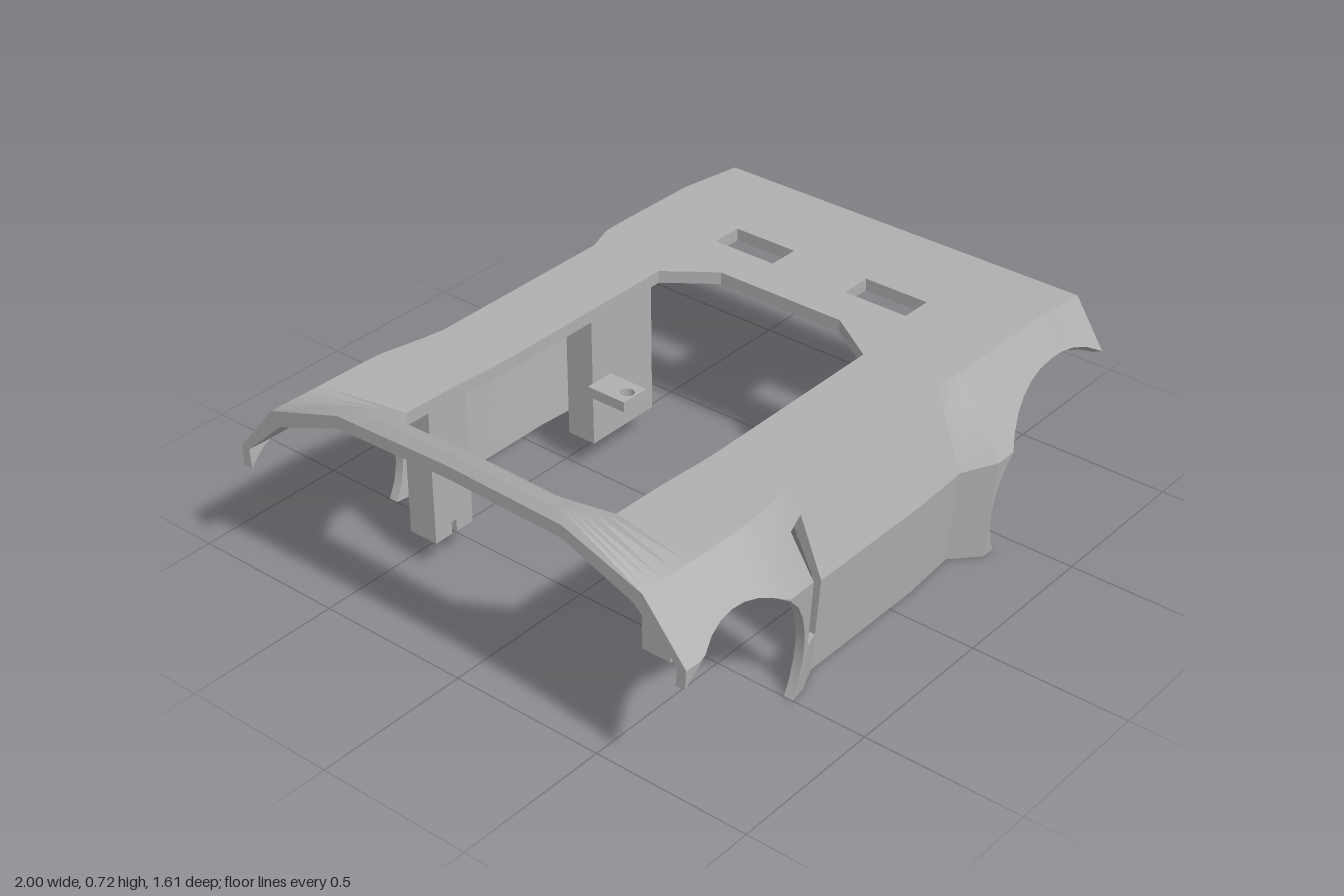
import * as THREE from 'three';
import { toCreasedNormals } from 'three/addons/utils/BufferGeometryUtils.js';

const grey = new THREE.MeshStandardMaterial({ color: 0xb0b0b0 });
grey.name = 'plain grey';

// Stations along the body: x, crease y, crease z, shoulder y, shoulder z, sill z
const STATIONS = [
  [-1, .59, .665, .42, .805, .775],
  [-.59, .58, .665, .40, .805, .775],
  [-.44, .57, .645, .365, .775, .75],
  [-.36, .567, .635, .31, .74, .715],
  [.1, .567, .635, .31, .74, .715],
  [.3, .567, .635, .31, .73, .70],
  [.38, .575, .657, .335, .805, .775],
  [.46, .577, .657, .335, .805, .775],
  [.76, .575, .655, .335, .805, .775],
  [1, .55, .65, .31, .805, .775],
];

// Piecewise linear lookup of column c at x
function lookup(table, x, c) {
  let i = 0;
  while (i < table.length - 2 && x > table[i + 1][0]) i++;
  const a = table[i], b = table[i + 1];
  const t = THREE.MathUtils.clamp((x - a[0]) / (b[0] - a[0]), 0, 1);
  return a[c] + (b[c] - a[c]) * t;
}
const creaseY = x => lookup(STATIONS, x, 1);
const creaseZ = x => lookup(STATIONS, x, 2);
const shoulderY = x => lookup(STATIONS, x, 3);
const openingZ = x => lookup([[-.87, .27], [-.77, .38], [.3, .38], [.4, .22]], x, 1);
const humpAt = x => lookup([[-1, .09], [-.98, .115], [-.77, 0], [1, 0]], x, 1);

// Wheel arches are ellipses: centre x, y and radii
const A = { x: -.77, y: .15, rx: .31, ry: .31 };
const B = { x: .76, y: .15, rx: .375, ry: .32 };
const archY = (e, x) => e.y + e.ry * Math.sqrt(Math.max(0, 1 - ((x - e.x) / e.rx) ** 2));
const archDx = (e, y) => e.rx * Math.sqrt(1 - ((y - e.y) / e.ry) ** 2);

// Points on the outer skin
function sidePoint(x, y) {
  const [yc, zc, ys, zs, zb] = [1, 2, 3, 4, 5].map(c => lookup(STATIONS, x, c));
  const z = y > ys ? zs + (zc - zs) * (y - ys) / (yc - ys) : zb + (zs - zb) * y / ys;
  return [x, y, z];
}
function topPoint(x, z) {
  const zc = creaseZ(x), h = humpAt(x);
  const k = z < .4 ? 1 + .13 * (1 - z / .4) : (zc - z) / (zc - .4);
  return [x, creaseY(x) + h * k, z];
}
// Matching point on the inner skin
function innerPoint([x, y, z]) {
  const ys = shoulderY(x), yc = creaseY(x);
  if (z < creaseZ(x) - 1e-5) return [x, y - .04, z];
  const t = THREE.MathUtils.clamp((y - ys) / (yc - ys), 0, 1);
  return [x, y - .04 * t, z - .03];
}

// Closed shell with walls along every open edge, mirrored across z
function shellGeometry(quads) {
  const pos = [], edges = new Map();
  const key = p => p.map(v => (v + 0).toFixed(4)).join();
  const tri = (a, b, c) => {
    pos.push(...a, ...b, ...c);
    for (const p of [a, c, b]) pos.push(p[0], p[1], -p[2]);
  };
  const face = (a, b, c, d) => {
    if (key(a) !== key(b) && key(b) !== key(c)) tri(a, b, c);
    if (key(c) !== key(d) && key(d) !== key(a)) tri(a, c, d);
  };
  for (const q of quads) {
    if (key(q[0]) === key(q[3]) && key(q[1]) === key(q[2])) continue;
    face(...q);
    face(...[...q].reverse().map(innerPoint));
    q.forEach((a, i) => {
      const b = q[(i + 1) % 4];
      if (key(a) !== key(b)) edges.set(key(a) + '|' + key(b), [a, b]);
    });
  }
  for (const [a, b] of edges.values()) {
    if (edges.has(key(b) + '|' + key(a)) || (a[2] === 0 && b[2] === 0)) continue;
    face(innerPoint(a), innerPoint(b), b, a);
  }
  const g = new THREE.BufferGeometry();
  g.setAttribute('position', new THREE.Float32BufferAttribute(pos, 3));
  return toCreasedNormals(g, .35);
}

function bodyQuads() {
  const quads = [];
  const XL = A.x + archDx(A, .39), XR = B.x - archDx(B, .335);
  const xs = [-1, -.98, -.95, -.92, -.87, -.82, -.77, -.72, -.67, -.62, XL, -.44, -.36, .1, .3, .38,
    .4, XR, .49, .54, .59, .645, .7, .76, .82, .88, .94, 1];
  const upperRows = x => {
    const lb = x <= XL ? archY(A, x) : x >= XR ? archY(B, x) : shoulderY(x);
    return [lb, Math.max(lb, shoulderY(x)), .49, creaseY(x)];
  };
  for (let i = 0; i < xs.length - 1; i++) {
    const a = xs[i], b = xs[i + 1], mid = (a + b) / 2;
    // Fender and upper door band, leaving the vent open
    const ra = upperRows(a), rb = upperRows(b);
    for (let j = 0; j < 3; j++) {
      if (a === -.44 && j === 1) continue;
      quads.push([sidePoint(a, ra[j]), sidePoint(b, rb[j]), sidePoint(b, rb[j + 1]), sidePoint(a, ra[j + 1])]);
    }
    // Top deck around the large opening and the rear slots
    const beside = mid > -.87 && mid < .4;
    const rows = x => beside ? [openingZ(x), .4, creaseZ(x)] : [0, .135, .355, .4, creaseZ(x)];
    const ta = rows(a), tb = rows(b);
    for (let j = 0; j < ta.length - 1; j++) {
      if (!beside && j === 1 && mid > .54 && mid < .645) continue;
      quads.push([topPoint(a, ta[j + 1]), topPoint(b, tb[j + 1]), topPoint(b, tb[j]), topPoint(a, ta[j])]);
    }
  }
  // Lower door, ending on the two arches
  const doorXs = [-.44, -.36, .1, .3, .38];
  const doorRow = t => [
    sidePoint(A.x + archDx(A, .39 * t), .39 * t),
    ...doorXs.map(x => sidePoint(x, shoulderY(x) * t)),
    sidePoint(B.x - archDx(B, .335 * t), .335 * t),
  ];
  const ts = [0, .13, .27, .4, .55, .7, .85, 1];
  for (let j = 0; j < ts.length - 1; j++) {
    const lo = doorRow(ts[j]), hi = doorRow(ts[j + 1]);
    for (let i = 0; i < lo.length - 1; i++) {
      if (i === 1 && j >= 3) continue;
      quads.push([lo[i], lo[i + 1], hi[i + 1], hi[i]]);
    }
  }
  return quads;
}

// Horizontal plate in x and z with round holes, standing on y
function plate(x0, x1, z0, z1, y, h, holes) {
  const s = new THREE.Shape([[x0, -z0], [x0, -z1], [x1, -z1], [x1, -z0]].map(p => new THREE.Vector2(...p)));
  for (const [x, z, r] of holes) s.holes.push(new THREE.Path().absarc(x, -z, r, 0, Math.PI * 2, true));
  return new THREE.ExtrudeGeometry(s, { depth: h, bevelEnabled: false, curveSegments: 16 })
    .rotateX(-Math.PI / 2).translate(0, y, 0);
}
// Half of a notched foot, with half a round socket
function halfFoot(side) {
  const r = .035, w = .01, t = Math.acos(w / r), s = new THREE.Shape();
  s.moveTo(w, -.05).lineTo(.075, -.05).lineTo(.075, .05).lineTo(w, .05).lineTo(w, r * Math.sin(t));
  s.absarc(0, 0, r, t, -t, true);
  s.closePath();
  return new THREE.ExtrudeGeometry(s, { depth: .04, bevelEnabled: false, curveSegments: 12 })
    .rotateX(-Math.PI / 2).rotateY(side > 0 ? 0 : Math.PI);
}

export function createModel() {
  const model = new THREE.Group();
  const add = (name, geometry, x = 0, y = 0, z = 0) => {
    const m = new THREE.Mesh(geometry, grey);
    m.name = name;
    m.position.set(x, y, z);
    model.add(m);
  };
  add('bodyShell', shellGeometry(bodyQuads()));

  for (const s of [1, -1]) {
    const z = .435 * s, zs = [.385 * s, .485 * s].sort((a, b) => a - b);
    // Narrow mounting post with a notched foot
    add('frontPost', new THREE.BoxGeometry(.15, .41, .1), -.605, .345, z);
    for (const side of [1, -1]) add('frontPostFoot', halfFoot(side), -.605, .1, z);
    // Wide mounting post with two sockets
    add('rearPost', new THREE.BoxGeometry(.27, .41, .1), .135, .345, z);
    add('rearPostFoot', plate(0, .27, ...zs, .1, .04, [[.07, z, .035], [.2, z, .035]]));
    // Drilled tab
    const tz = [.245 * s, .386 * s].sort((a, b) => a - b);
    add('mountingTab', plate(-.02, .08, ...tz, .277, .034, [[.03, .275 * s, .022]]));
  }
  return model;
}
